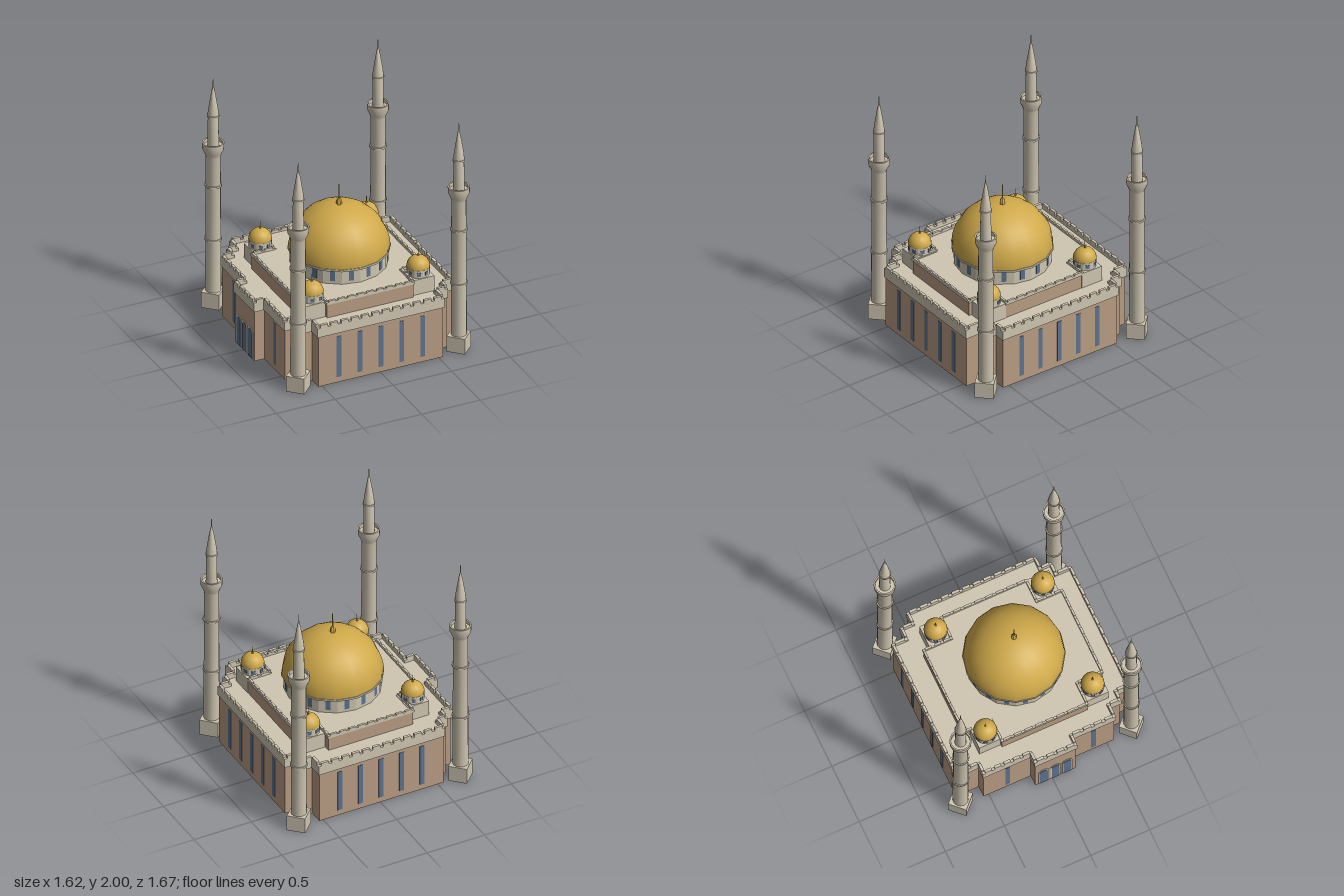
import * as THREE from 'three';
import { mergeGeometries, toCreasedNormals } from 'three/addons/utils/BufferGeometryUtils.js';

const mat = (name, color) => Object.assign(new THREE.MeshStandardMaterial({ color }), { name });
const stone = mat('paleStone', 0xcfc6b2);
const brick = mat('warmBrick', 0xb99d83);
const gold = mat('domeGold', 0xcfa94a);
const glass = mat('blueGlass', 0x5d738f);

// Plan outlines as [x, z] corners, anticlockwise seen from above
const LOWER = [
  [-.54, .78], [.545, .78], [.545, .655], [.636, .655], [.636, .565], [.728, .565],
  [.728, -.534], [.636, -.534], [.636, -.63], [.543, -.63], [.543, -.746], [-.56, -.746],
  [-.56, -.64], [-.636, -.64], [-.636, -.555], [-.724, -.555], [-.724, -.155], [-.808, -.155],
  [-.808, .207], [-.724, .207], [-.724, .574], [-.618, .574], [-.618, .67], [-.54, .67],
];
const UPPER = [
  [-.39, .625], [.365, .625], [.365, .41], [.553, .41], [.553, -.33], [.365, -.33],
  [.365, -.565], [-.39, -.565], [-.39, -.33], [-.578, -.33], [-.578, .41], [-.39, .41],
];

function add(group, name, geometry, material, x = 0, y = 0, z = 0) {
  const mesh = new THREE.Mesh(geometry, material);
  mesh.name = name;
  mesh.position.set(x, y, z);
  group.add(mesh);
  return mesh;
}

// Move a right-angled outline inwards by d
function inset(pts, d) {
  const n = pts.length;
  return pts.map(([x, z], i) => {
    const [px, pz] = pts[(i + n - 1) % n], [qx, qz] = pts[(i + 1) % n];
    const nx = -Math.sign(z - pz) - Math.sign(qz - z);
    const nz = Math.sign(x - px) + Math.sign(qx - x);
    return [x - nx * d, z - nz * d];
  });
}

const toPoints = (pts) => pts.map(([x, z]) => new THREE.Vector2(x, -z));

// Upright slab on an outline; with a thickness it becomes a hollow ring of walls
function slab(pts, y0, y1, thickness = 0) {
  const shape = new THREE.Shape(toPoints(pts));
  if (thickness) shape.holes.push(new THREE.Path(toPoints(inset(pts, thickness))));
  const g = new THREE.ExtrudeGeometry(shape, { depth: y1 - y0, bevelEnabled: false });
  return g.rotateX(-Math.PI / 2).translate(0, y0, 0);
}

// Row of merlons along every edge of an outline
function merlons(pts, y, height, thickness, pitch) {
  const parts = [];
  const mid = inset(pts, thickness / 2);
  mid.forEach(([x, z], i) => {
    const [qx, qz] = mid[(i + 1) % mid.length];
    const len = Math.hypot(qx - x, qz - z);
    const n = Math.max(1, Math.round(len / pitch));
    for (let k = 0; k < n; k++) {
      const t = (k + 0.5) / n;
      const g = new THREE.BoxGeometry(len / n * 0.7, height, thickness);
      if (Math.abs(qz - z) > Math.abs(qx - x)) g.rotateY(Math.PI / 2);
      parts.push(g.translate(x + (qx - x) * t, y + height / 2, z + (qz - z) * t));
    }
  });
  return mergeGeometries(parts);
}

// Turned shape from [radius, height] points
function turned(profile, sides, crease = 0.6) {
  const pts = profile.map(([r, y]) => new THREE.Vector2(r, y));
  return toCreasedNormals(new THREE.LatheGeometry(pts, sides), crease);
}

// Dome on a windowed drum, with its finial
function domeTower(name, { r, sides, base, eave, top, windows, winW, winY, winH, finial }) {
  const tower = new THREE.Group();
  tower.name = name;
  const drumR = r * 0.965;
  add(tower, 'drum', turned([[drumR, base], [drumR, eave]], sides, 0.1), stone);
  add(tower, 'eaveRing', turned([
    [drumR, eave - r * 0.03], [r * 1.01, eave - r * 0.02], [r * 1.01, eave + r * 0.02], [r * 0.9, eave + r * 0.03],
  ], sides), stone);
  const cap = new THREE.SphereGeometry(r, sides, 12, 0, Math.PI * 2, 0, Math.PI / 2);
  add(tower, 'dome', cap.scale(1, (top - eave) / r, 1), gold, 0, eave, 0);
  const wallR = drumR * Math.cos(Math.PI / sides);
  for (let i = 0; i < windows; i++) {
    const a = (i + 0.5) / windows * Math.PI * 2;
    const w = add(tower, 'drumWindow', new THREE.BoxGeometry(winW, winH, 0.006), glass,
      Math.sin(a) * wallR, winY, Math.cos(a) * wallR);
    w.rotation.y = a;
  }
  add(tower, 'finial', turned(finial.map(([fr, fy]) => [fr, top + fy]), 6), gold);
  return tower;
}

function minaret() {
  const m = new THREE.Group();
  m.name = 'minaret';
  add(m, 'minaretBase', toCreasedNormals(new THREE.CylinderGeometry(.105, .105, .135, 4), 0.3), stone, 0, .0675, 0);
  add(m, 'minaretShaft', turned([
    [.062, .13], [.058, 1.32], [.066, 1.345], [.084, 1.385], [.086, 1.44],
    [.074, 1.44], [.074, 1.41], [.045, 1.41], [.041, 1.69],
  ], 16), stone);
  for (const [y, r] of [[.59, .068], [1.065, .068], [1.675, .048]]) {
    add(m, 'minaretBand', new THREE.CylinderGeometry(r, r, .016, 16), stone, 0, y, 0);
  }
  add(m, 'minaretSpire', turned([
    [.044, 1.685], [.038, 1.74], [.024, 1.83], [.008, 1.925], [.004, 1.93], [.003, 2], [0, 2],
  ], 16), stone);
  return m;
}

// Arched outline standing on y = 0
function arch(w, h) {
  const s = new THREE.Shape();
  s.moveTo(-w / 2, 0);
  s.lineTo(w / 2, 0);
  s.lineTo(w / 2, h - w / 2);
  s.absarc(0, h - w / 2, w / 2, 0, Math.PI, false);
  s.closePath();
  return s;
}

export function createModel() {
  const model = new THREE.Group();
  model.name = 'domedMosque';

  // Lower storey: hollow walls, open underneath, with roof and parapet
  const wall = inset(LOWER, 0.01);
  add(model, 'lowerWalls', slab(wall, 0, .45, .012), brick);
  add(model, 'ceiling', slab(inset(LOWER, .015), .43, .445), brick);
  add(model, 'lowerRoof', slab(inset(LOWER, .015), .445, .495), stone);
  add(model, 'lowerParapet', slab(LOWER, .44, .52, .022), stone);
  add(model, 'lowerMerlons', merlons(LOWER, .515, .03, .022, .088), stone);

  // Upper storey
  add(model, 'upperWalls', slab(inset(UPPER, .008), .49, .615), brick);
  add(model, 'upperRoof', slab(inset(UPPER, .004), .612, .62), stone);
  add(model, 'upperParapet', slab(UPPER, .612, .633, .018), stone);
  add(model, 'upperMerlons', merlons(UPPER, .63, .015, .018, .085), stone);

  // Tall windows: [x, z, turn]
  const spots = [];
  for (let i = -2; i <= 2; i++) {
    const s = i * .179;
    spots.push([s + .004, .77, 0], [s - .005, -.736, 0], [.718, s + .022, Math.PI / 2]);
  }
  spots.push([-.714, -.34, Math.PI / 2], [-.714, .386, Math.PI / 2]);
  for (const [x, z, turn] of spots) {
    add(model, 'tallWindow', new THREE.BoxGeometry(.04, .36, .006), glass, x, .227, z).rotation.y = turn;
  }

  // Arched doorways on the porch
  for (const z of [-.074, .026, .126]) {
    const opts = { bevelEnabled: false, curveSegments: 8 };
    const frame = new THREE.ExtrudeGeometry(arch(.085, .26), { ...opts, depth: .004 });
    const door = new THREE.ExtrudeGeometry(arch(.065, .245), { ...opts, depth: .007 });
    add(model, 'doorFrame', frame, stone, -.798, .01, z).rotation.y = -Math.PI / 2;
    add(model, 'archedDoor', door, glass, -.798, .01, z).rotation.y = -Math.PI / 2;
  }

  // Great dome
  const great = domeTower('greatDome', {
    r: .395, sides: 16, base: .615, eave: .745, top: 1.12,
    windows: 16, winW: .04, winY: .687, winH: .085,
    finial: [[.022, -.01], [.022, .03], [.012, .045], [.005, .055], [.004, .17], [0, .17]],
  });
  great.position.z = .044;
  model.add(great);

  // Corner turrets with small domes
  for (const x of [-.455, .455]) {
    for (const z of [-.41, .5]) {
      add(model, 'turretBlock', new THREE.BoxGeometry(.188, .135, .188), stone, x, .5575, z);
      const t = domeTower('cornerDome', {
        r: .092, sides: 16, base: .62, eave: .69, top: .782,
        windows: 8, winW: .03, winY: .657, winH: .03,
        finial: [[.008, -.005], [.008, .008], [.003, .014], [.002, .06], [0, .06]],
      });
      t.position.set(x, 0, z);
      model.add(t);
    }
  }

  // Four minarets
  for (const [x, z] of [[-.7, -.733], [.706, -.724], [-.68, .724], [.702, .708]]) {
    const m = minaret();
    m.position.set(x, 0, z);
    model.add(m);
  }
  return model;
}
